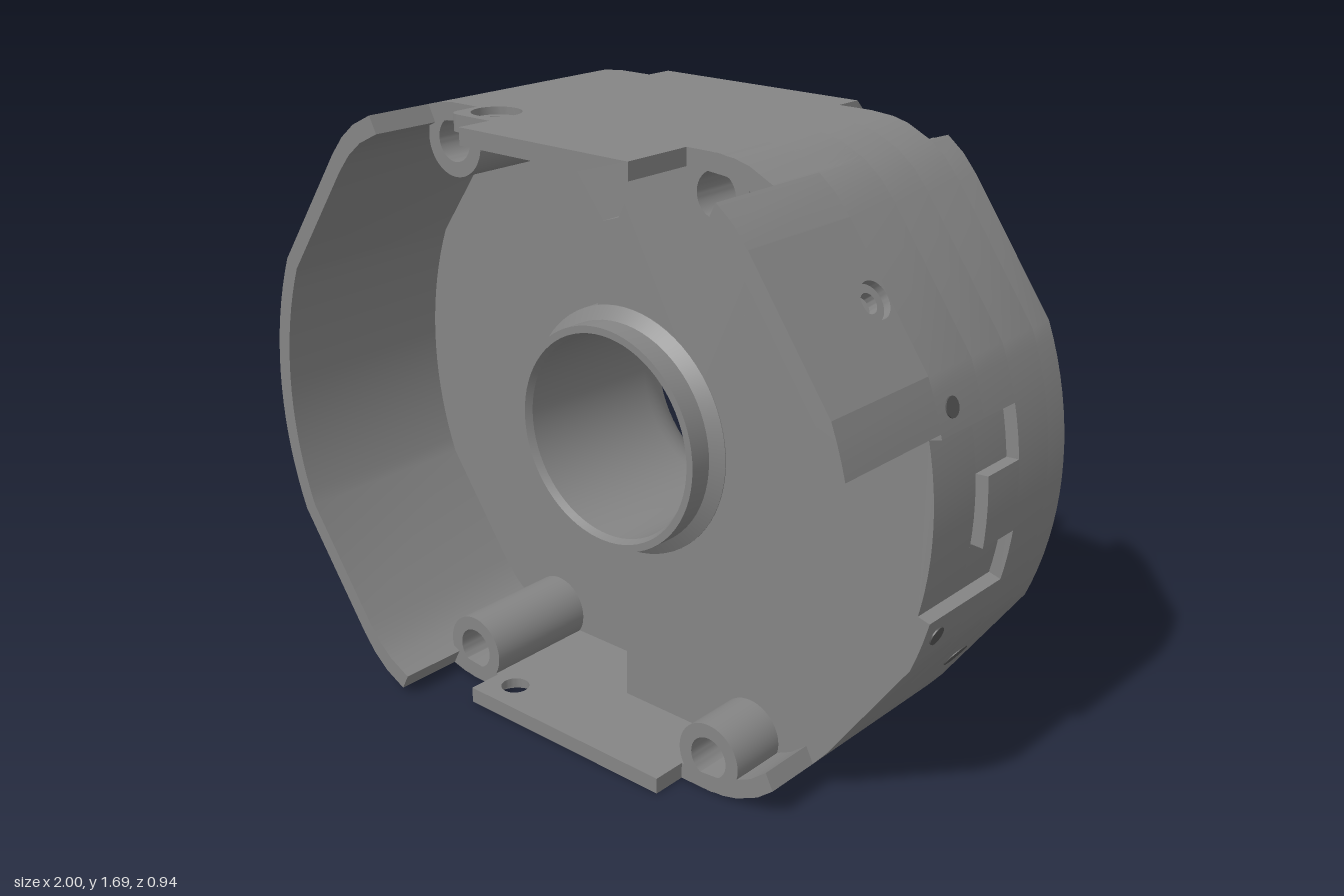
import * as THREE from 'three';
import { toCreasedNormals } from 'three/addons/utils/BufferGeometryUtils.js';

const CY = 0.855, H = 0.845, C = 0.974, NX = 0.816, NY = 0.578;
const K = 16;                       // interior points on each side arc
const BX = 0.44, BY = 0.747;        // corner bolt position
const WALL = 0.045;

export function createModel() {
  const metal = new THREE.MeshStandardMaterial({ color: 0x858585, side: THREE.DoubleSide });
  metal.name = 'grey metal';
  const socket = new THREE.MeshStandardMaterial({ color: 0x555555 });
  socket.name = 'dark socket';

  const model = new THREE.Group();
  model.name = 'motorHousing';
  const body = new THREE.Group();
  body.name = 'housing';
  body.position.y = CY;
  model.add(body);

  const add = (name, geo, mat = metal) => {
    const m = new THREE.Mesh(geo, mat);
    m.name = name;
    body.add(m);
    return m;
  };
  const V = (x, y) => new THREE.Vector2(x, y);
  const circle = (x, y, r) => new THREE.Path().absarc(x, y, r, 0, Math.PI * 2, true);
  const extrude = (shape, z0, z1) => {
    const g = new THREE.ExtrudeGeometry(shape, { depth: z1 - z0, bevelEnabled: false, curveSegments: 24 });
    return toCreasedNormals(g.translate(0, 0, z0), 0.4);
  };
  const slab = (name, pts, holes, z0, z1) => {
    const s = new THREE.Shape(pts);
    s.holes.push(...holes);
    return add(name, extrude(s, z0, z1));
  };

  // Upper right quarter of the outline, inset by d, from the side arc to the top flat
  const jointAt = (d) => {
    const c = C - d, t = Math.sqrt((1 - d) ** 2 - c * c);
    return V(NX * c + NY * t, NY * c - NX * t);
  };
  function quarter(d, scallop) {
    const h = H - d, cx = (C - d - NY * h) / NX;
    const curve = new THREE.QuadraticBezierCurve(V(cx - 0.17, h), V(cx, h), V(cx + 0.17 * NY, h - 0.17 * NX));
    const ts = scallop ? [1, 0.8, 0.6] : [1, 0.8, 0.6, 0.35, 0.2, 0];
    const pts = [jointAt(d), ...ts.map((t) => curve.getPoint(t))];
    if (!scallop) return [...pts, V(0.35, h), V(0.2, h)];
    for (let i = 0; i <= 12; i++) {
      const a = THREE.MathUtils.degToRad(15 - i * 16.25);
      pts.push(V(BX + 0.105 * Math.cos(a), BY + 0.105 * Math.sin(a)));
    }
    return [...pts, V(0.325, h)];
  }

  // Whole outline, counter-clockwise; notches are y ranges sunk into the right side
  function outline(d = 0, scallop = false, notches = []) {
    const q = quarter(d, scallop), j = q[0], a0 = Math.atan2(j.y, j.x);
    const flip = (sx, sy) => q.map((p) => V(p.x * sx, p.y * sy));
    const angles = [];
    for (let i = 1; i <= K; i++) angles.push(a0 * (2 * i / (K + 1) - 1));
    const left = angles.map((a) => V(-(1 - d) * Math.cos(a), -(1 - d) * Math.sin(a)));
    for (const y of notches.flat()) angles.push(Math.asin(y) - 5e-4, Math.asin(y) + 5e-4);
    const right = angles.sort((a, b) => a - b).map((a) => {
      const sunk = notches.some(([lo, hi]) => a > Math.asin(lo) && a < Math.asin(hi));
      const r = 1 - d - (sunk ? 0.035 : 0);
      return V(r * Math.cos(a), r * Math.sin(a));
    });
    return [...q, ...flip(-1, 1).reverse(), ...left, ...flip(-1, -1), ...flip(1, -1).reverse(), ...right];
  }

  // Hole patterns
  const signs = [[1, 1], [-1, 1], [-1, -1], [1, -1]];
  const bolts = () => signs.map(([x, y]) => circle(BX * x, BY * y, 0.058));
  const blind = () => [...signs.map(([x, y]) => circle(0.59 * x, 0.61 * y, 0.055)),
    circle(0.84, 0, 0.055), circle(-0.84, 0, 0.055)];
  const bore = (r) => circle(0, 0, r);

  // Back plate in layers, with a chamfered rim and scalloped bolt pockets
  const small = outline(0.03, true), full = outline(0, true);
  slab('backFace', small, [bore(0.53), ...blind()], -0.47, -0.44);
  slab('backPlate', full, [bore(0.53), ...blind()], -0.44, -0.36);
  slab('middlePlate', outline(), [bore(0.53), ...blind(), ...bolts()], -0.36, -0.22);
  slab('innerPlate', outline(0, false, [[-0.235, -0.095], [0.095, 0.235]]), [bore(0.3), ...bolts()], -0.22, -0.08);
  const rim = [];
  small.forEach((p, i) => {
    const k = (i + 1) % small.length, a = [p.x, p.y, -0.47], b = [small[k].x, small[k].y, -0.47];
    const c = [full[k].x, full[k].y, -0.44], e = [full[i].x, full[i].y, -0.44];
    rim.push(...a, ...b, ...c, ...a, ...c, ...e);
  });
  const rimGeo = new THREE.BufferGeometry();
  rimGeo.setAttribute('position', new THREE.Float32BufferAttribute(rim, 3));
  add('backChamfer', toCreasedNormals(rimGeo, 0.4));

  // Raised half of the floor, with a stepped seam passing around the tube
  const lined = outline(0, false, [[-0.235, 0.235]]);
  const seam = [[0, H], [0, 0.62], [-0.02, 0.58], [-0.08, 0.56], [-0.1, 0.53]].map(([x, y]) => V(x, y));
  const around = [];
  for (let i = 0; i <= 32; i++) {
    const a = THREE.MathUtils.degToRad(108.4 - i * 216.8 / 32);
    around.push(V(0.3 * Math.cos(a), 0.3 * Math.sin(a)));
  }
  const lower = seam.map((p) => V(p.x, -p.y)).reverse();
  slab('raisedFloor', [...lined.slice(43), ...lined.slice(0, 9), ...seam, ...around, ...lower],
    [circle(BX, BY, 0.058), circle(BX, -BY, 0.058)], -0.08, 0.1);

  // Central tube with flared mouth and shallow seat at the back
  const profile = [V(0.53, -0.47), V(0.53, -0.43), V(0.51, -0.43), V(0.51, -0.44), V(0.41, -0.44)];
  for (let i = 1; i <= 10; i++) {
    const a = i * Math.PI / 20;
    profile.push(V(0.41 - 0.13 * Math.sin(a), -0.29 - 0.15 * Math.cos(a)));
  }
  profile.push(V(0.28, 0.17), V(0.29, 0.19), V(0.31, 0.19), V(0.31, 0.125), V(0.345, 0.102), V(0.345, -0.08));
  add('centreTube', toCreasedNormals(new THREE.LatheGeometry(profile, 72).rotateX(Math.PI / 2), 0.4));

  // Curved outer wall, in runs of different height
  const outer = outline(), inner = outline(WALL), n = outer.length;
  const wall = (name, from, to, z0, z1) => {
    const a = [], b = [];
    for (let i = from; i <= to; i++) {
      a.push(outer[i % n]);
      b.unshift(inner[i % n]);
    }
    slab(name, [...a, ...b], [], z0, z1);
  };
  wall('leftWall', 13, 38, -0.08, 0.47);
  wall('topNotchWallLeft', 10, 13, -0.08, 0.27);
  wall('topTab', 7, 9, -0.08, 0.47);
  wall('topNotchWallRight', 3, 7, -0.08, 0.27);
  wall('topCornerWall', n + 1, n + 3, 0.1, 0.47);
  wall('rightUpperWall', 65, n, 0.1, 0.47);
  wall('bottomNotchWallLeft', 38, 41, -0.08, 0.27);
  wall('bottomTab', 42, 44, -0.08, 0.37);
  wall('bottomNotchWallRight', 44, 49, -0.08, 0.27);

  // Flat wall plates with a countersunk screw hole
  function plate(name, p, q, z0, z1, along, hz, rBig, rSmall, round) {
    const len = p.distanceTo(q), u = new THREE.Vector3(q.x - p.x, q.y - p.y, 0).normalize();
    const v = new THREE.Vector3(0, 0, 1), w = new THREE.Vector3().crossVectors(u, v);
    const basis = new THREE.Matrix4().makeBasis(u, v, w).setPosition(p.x, p.y, 0);
    for (const [r, w0, w1] of [[rSmall, -WALL, -0.02], [rBig, -0.02, 0]]) {
      const s = new THREE.Shape().moveTo(0, z0).lineTo(len, z0).lineTo(len, z1 - round);
      s.quadraticCurveTo(len, z1, len - round, z1).lineTo(0, z1);
      s.holes.push(circle(len * along, hz, r));
      add(name, extrude(s, w0, w1).applyMatrix4(basis));
    }
  }
  plate('topScrewTab', outer[9], outer[10], -0.08, 0.37, 0.45, 0.28, 0.065, 0.04, 0.04);
  plate('bottomScrewTab', outer[41], outer[42], -0.08, 0.37, 0.55, 0.28, 0.065, 0.04, 0);
  plate('rightScrewWall', outer[0], outer[1], 0.1, 0.47, 0.51, 0.152, 0.048, 0.026, 0);

  // Hollow bolt bosses standing on the floor
  for (const [x, y] of signs) {
    const s = new THREE.Shape().absarc(BX * x, BY * y, 0.098, 0, Math.PI * 2);
    s.holes.push(circle(BX * x, BY * y, 0.058));
    add('boltBoss', extrude(s, x > 0 ? 0.1 : -0.08, 0.27));
  }

  // Small sockets on the right side
  for (const [x, y, z, r, a] of [[0.956, 0.295, 0.04, 0.026, 0.3], [0.956, -0.295, 0.04, 0.026, -0.3],
    [0.8, -0.555, -0.32, 0.04, -0.616]]) {
    const disc = add('sideSocket', new THREE.CylinderGeometry(r, r, 0.006, 20), socket);
    disc.position.set(x, y, z);
    disc.rotation.z = a - Math.PI / 2;
  }
  return model;
}
